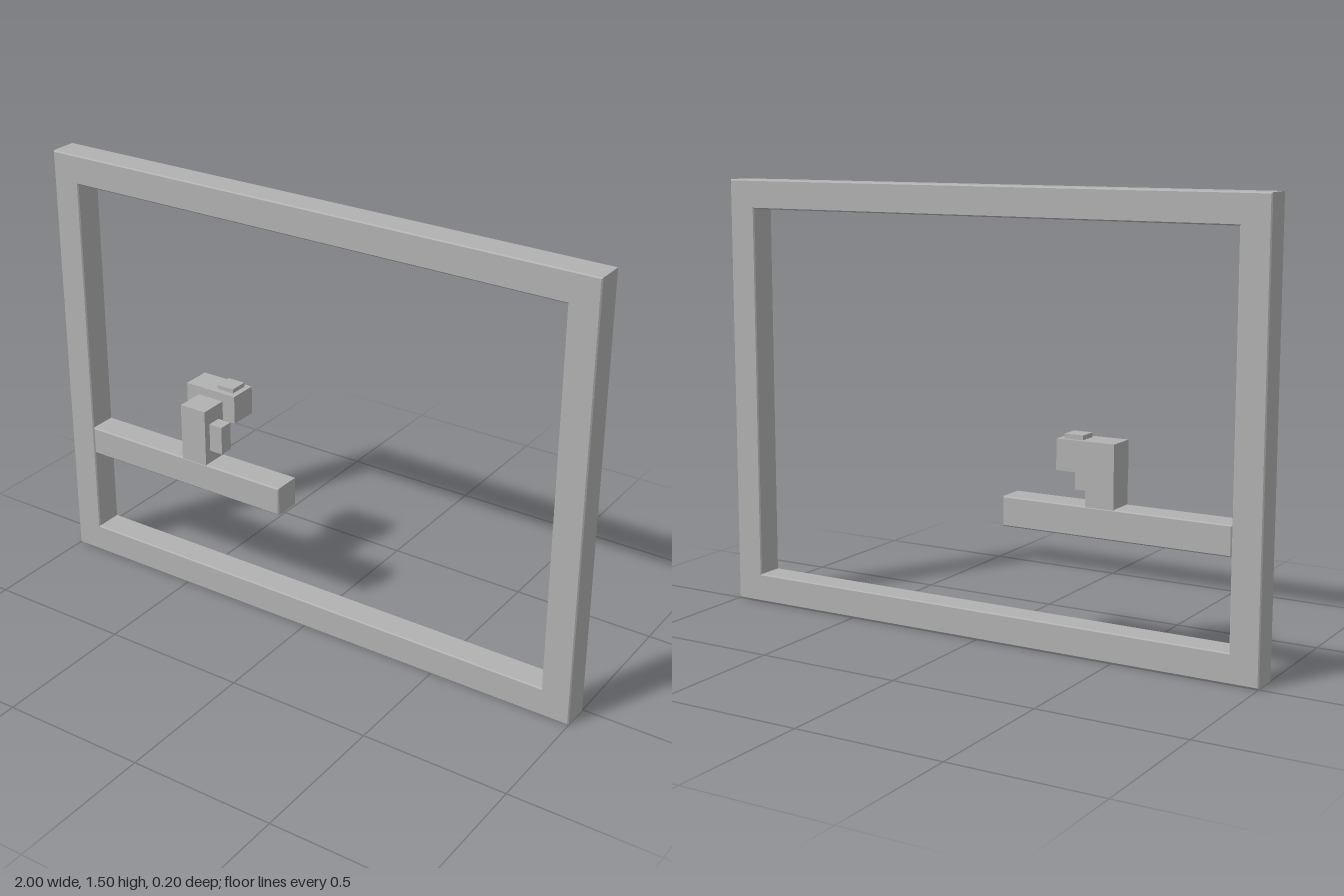
import * as THREE from 'three';

const DEPTH = 0.1, BEVEL = 0.004;

export function createModel() {
  const model = new THREE.Group();
  const grey = new THREE.MeshStandardMaterial({ color: 0xb2b2b2 });
  grey.name = 'grey';

  const add = (name, geometry) => {
    const mesh = new THREE.Mesh(geometry, grey);
    mesh.name = name;
    model.add(mesh);
  };

  // box given by its lower and upper limits on each axis
  const addBox = (name, [x0, x1], [y0, y1], [z0, z1]) =>
    add(name, new THREE.BoxGeometry(x1 - x0, y1 - y0, z1 - z0)
      .translate((x0 + x1) / 2, (y0 + y1) / 2, (z0 + z1) / 2));

  const rectangle = (path, x0, x1, y0, y1) =>
    path.moveTo(x0, y0).lineTo(x1, y0).lineTo(x1, y1).lineTo(x0, y1).closePath();

  // bars with a tiny chamfer, filling z = 0 to DEPTH
  const bar = (shape) => new THREE.ExtrudeGeometry(shape, {
    depth: DEPTH - 2 * BEVEL, bevelThickness: BEVEL, bevelSize: BEVEL,
    bevelOffset: -BEVEL, bevelSegments: 1,
  }).translate(0, 0, BEVEL);

  // rectangular outer frame
  const outline = rectangle(new THREE.Shape(), -1, 1, 0, 1.5);
  outline.holes.push(rectangle(new THREE.Path(), -0.9, 0.9, 0.1, 1.4));
  add('frame', bar(outline));

  // arm reaching inward from the right upright
  add('arm', bar(rectangle(new THREE.Shape(), -0.9, -0.1, 0.4, 0.5)));

  // post on the arm, with a small block on its side
  addBox('post', [-0.5, -0.4], [0.498, 0.7], [0, DEPTH]);
  addBox('sideBlock', [-0.4, -0.35], [0.545, 0.645], [0.025, 0.075]);

  // housing behind the post, with a raised button
  addBox('housing', [-0.55, -0.35], [0.63, 0.73], [-0.1, 0]);
  addBox('button', [-0.435, -0.37], [0.73, 0.745], [-0.085, -0.02]);

  return model;
}
